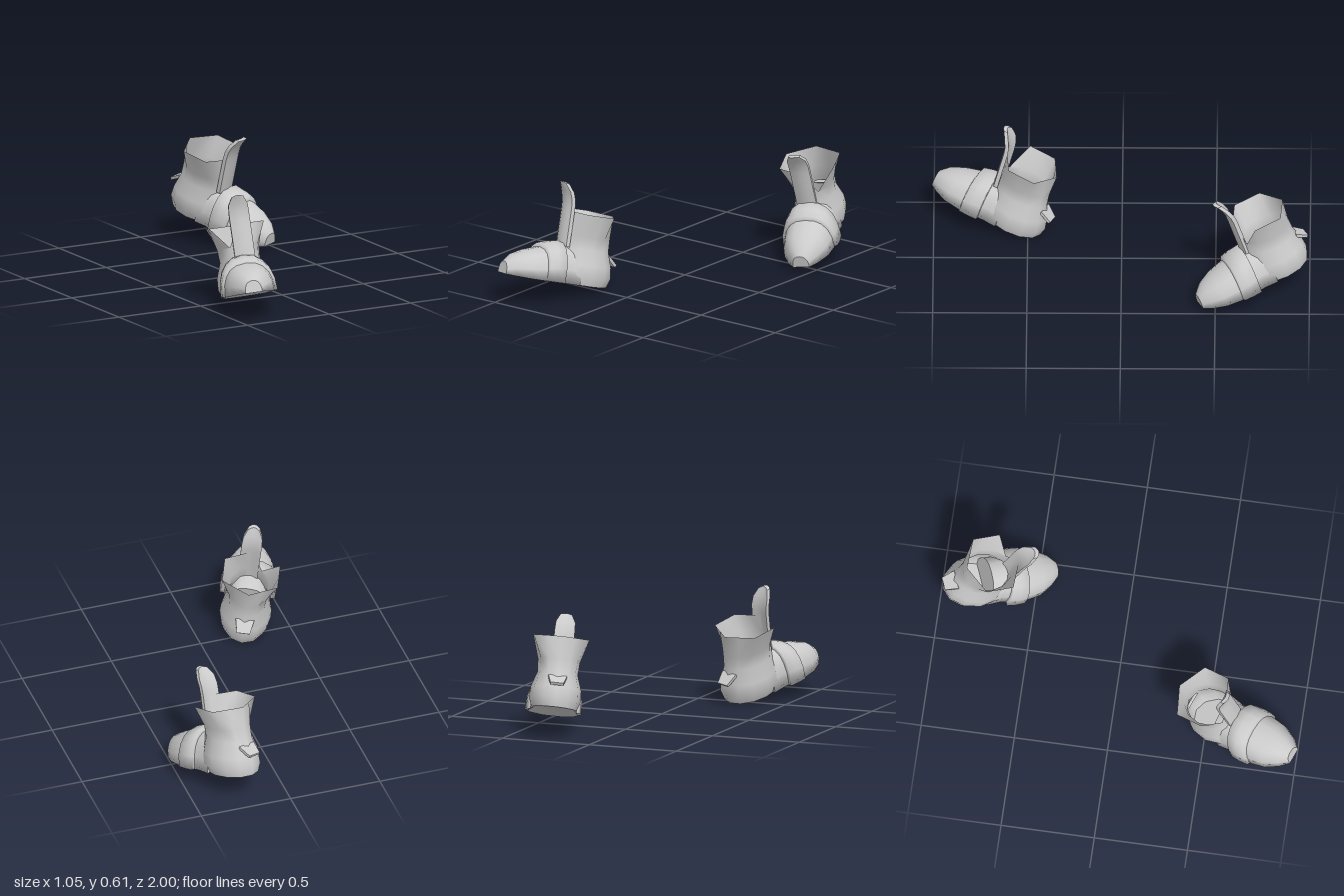
import * as THREE from 'three';

const material = new THREE.MeshStandardMaterial({ color: 0xcccccc, side: THREE.DoubleSide });

// Skin a list of closed rings (arrays of [x, y, z]); optionally cap either end.
function loft(name, rings, capStart = false, capEnd = false) {
  const n = rings[0].length, pos = rings.flat(2), index = [];
  for (let r = 0; r < rings.length - 1; r++) {
    for (let i = 0; i < n; i++) {
      const a = r * n + i, b = r * n + (i + 1) % n;
      index.push(a, b, a + n, b, b + n, a + n);
    }
  }
  const cap = (ring, flip) => {
    const start = pos.length / 3;
    pos.push(...ring.flat());
    for (let i = 1; i < n - 1; i++) {
      index.push(start, start + (flip ? i + 1 : i), start + (flip ? i : i + 1));
    }
  };
  if (capStart) cap(rings[0], true);
  if (capEnd) cap(rings[rings.length - 1], false);
  const geo = new THREE.BufferGeometry();
  geo.setAttribute('position', new THREE.Float32BufferAttribute(pos, 3));
  geo.setIndex(index);
  geo.computeVertexNormals();
  const mesh = new THREE.Mesh(geo, material);
  mesh.name = name;
  return mesh;
}

// Arched cross-section of the foot: flat below, rounded above.
function arch(z, w, h, y0 = 0) {
  const ring = [];
  for (let i = 0; i <= 10; i++) {
    const a = Math.PI * i / 10 - 0;
    const c = Math.cos(a), s = Math.sin(a);
    ring.push([w * Math.sign(c) * Math.abs(c) ** 0.8, y0 + h * s ** 0.85, z]);
  }
  return ring;
}

// Heel and ankle, flaring into a six-cornered collar with a notch beside the tongue.
function makeShaft() {
  const levels = [ // y, back z, front z, half width
    [0, 0, 0.32, 0.12], [0.05, -0.015, 0.34, 0.138], [0.11, -0.005, 0.33, 0.135],
    [0.19, 0.022, 0.315, 0.108], [0.26, 0.03, 0.315, 0.113], [0.38, 0.025, 0.325, 0.172],
  ];
  const point = ([y, back, front, w], i, k) => {
    const a = i * Math.PI / 6;
    return [w * k * Math.sin(a), y, (back + front) / 2 + (front - back) / 2 * k * Math.cos(a)];
  };
  const rings = levels.map((level, r) => Array.from({ length: 12 }, (_, i) => {
    if (r === 5 && i === 1) return point(levels[4], i, 1);
    return point(level, i, r === 5 && i % 2 ? 0.866 : 1);
  }));
  return loft('shaft', rings, true);
}

// Forefoot, from the instep to the blunt toe.
function makeForefoot() {
  const sections = [ // z, half width, height
    [0.22, 0.125, 0.19], [0.29, 0.12, 0.2], [0.36, 0.128, 0.185], [0.44, 0.135, 0.163],
    [0.52, 0.122, 0.138], [0.59, 0.085, 0.108], [0.635, 0.045, 0.065],
  ];
  return loft('forefoot', sections.map(s => arch(...s)), true, true);
}

// Raised band across the instep.
function makeStrap() {
  const sections = [
    [0.325, 0.125, 0.185], [0.325, 0.147, 0.212], [0.375, 0.152, 0.202],
    [0.425, 0.15, 0.185], [0.432, 0.133, 0.16],
  ];
  return loft('strap', sections.map(([z, w, h]) => arch(z, w, h, 0.002)));
}

// Tall tongue that curls forward at its rounded tip.
function makeTongue() {
  const geo = new THREE.BoxGeometry(0.108, 0.34, 0.022, 4, 8, 1);
  const p = geo.attributes.position;
  for (let i = 0; i < p.count; i++) {
    const t = p.getY(i) / 0.34 + 0.5, x = p.getX(i);
    const curl = Math.max(0, t - 0.65);
    p.setXYZ(i, x * (1 - 3 * Math.max(0, t - 0.86)) - 0.015,
      0.19 + 0.34 * t - 2.5 * x * x * t,
      p.getZ(i) + 0.318 + 0.015 * t + 0.35 * curl * curl - 5 * x * x);
  }
  geo.computeVertexNormals();
  const mesh = new THREE.Mesh(geo, material);
  mesh.name = 'tongue';
  return mesh;
}

// Small tapered pull tab sloping out of the heel.
function makeHeelTab() {
  const shape = new THREE.Shape([[-0.05, 0], [0.05, 0], [0.035, -0.075], [-0.035, -0.075]]
    .map(([x, y]) => new THREE.Vector2(x, y)));
  const geo = new THREE.ExtrudeGeometry(shape, { depth: 0.016, bevelEnabled: false });
  const mesh = new THREE.Mesh(geo, material);
  mesh.name = 'heelTab';
  mesh.position.set(0, 0.17, 0.025);
  mesh.rotation.x = 0.95;
  return mesh;
}

function makeBoot(name) {
  const boot = new THREE.Group();
  boot.name = name;
  boot.add(makeShaft(), makeForefoot(), makeStrap(), makeTongue(), makeHeelTab());
  return boot;
}

export function createModel() {
  const model = new THREE.Group();
  model.name = 'walkingBoots';
  const deg = Math.PI / 180;

  // Rear boot, toe tipped down
  const left = makeBoot('leftBoot');
  left.position.set(0.208, 0.197, -0.982);
  left.rotation.set(16 * deg, 23 * deg, 0);

  // Leading boot, mirrored, toe lifted
  const right = makeBoot('rightBoot');
  right.position.set(-0.208, 0.01, 0.435);
  right.rotation.set(-17 * deg, -23 * deg, 0);
  right.scale.x = -1;

  model.add(left, right);
  return model;
}
